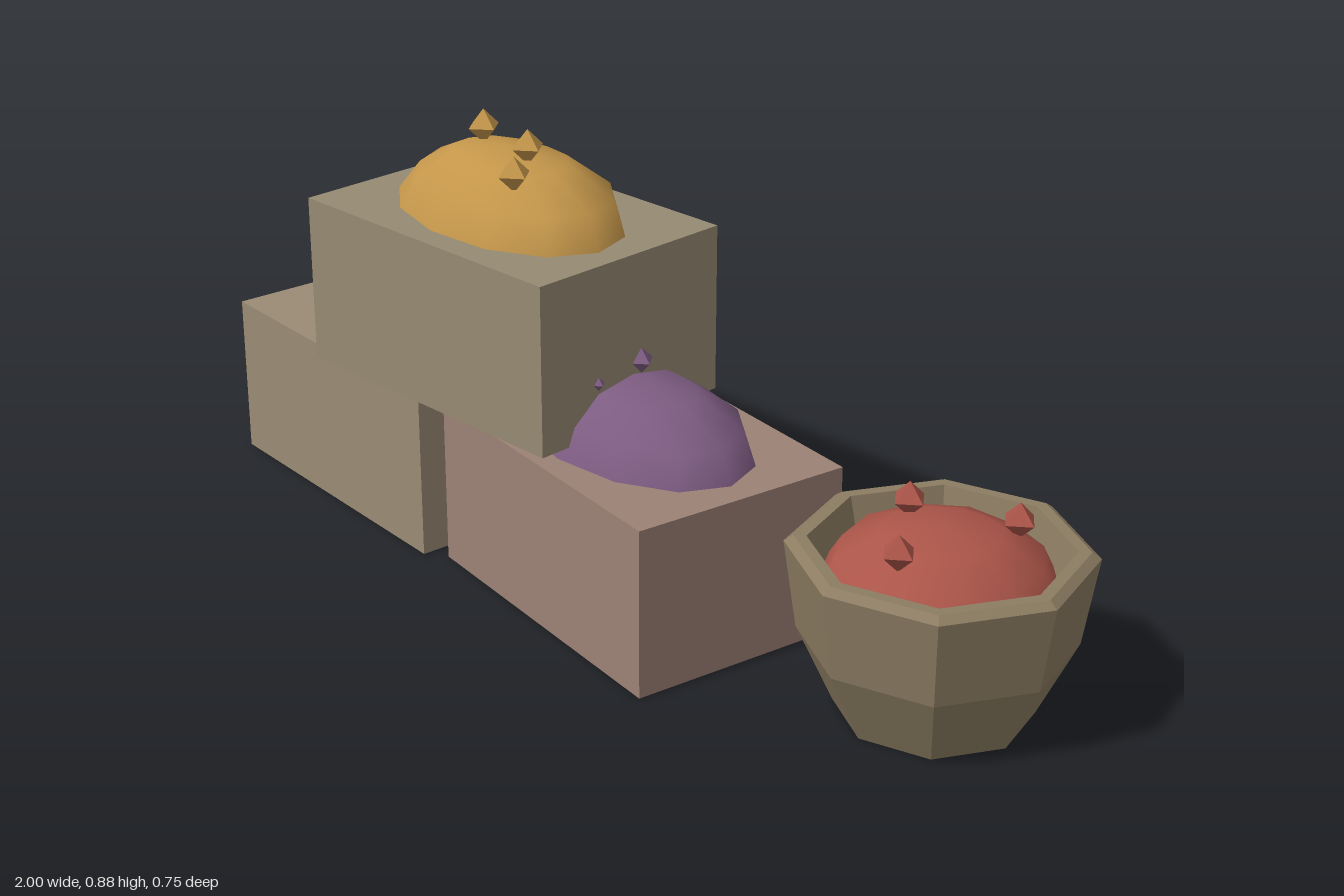
import * as THREE from 'three';
import { mergeVertices } from 'three/addons/utils/BufferGeometryUtils.js';

const material = (color, options = {}) => new THREE.MeshStandardMaterial({ color, ...options });

function addMesh(parent, name, geometry, mat, x = 0, y = 0, z = 0) {
  const mesh = new THREE.Mesh(geometry, mat);
  mesh.name = name;
  mesh.position.set(x, y, z);
  parent.add(mesh);
  return mesh;
}

// Crate: four walls and a top, open underneath
function addCrate(parent, name, color, x, y, z, turn) {
  const box = new THREE.BoxGeometry(0.668, 0.336, 0.455);
  const index = Array.from(box.index.array);
  index.splice(18, 6);
  box.setIndex(index);
  box.clearGroups();
  const mat = material(color, { flatShading: true, side: THREE.DoubleSide });
  addMesh(parent, name, box, mat, x, y + 0.168, z).rotation.y = turn;
}

// Heap: slightly lopsided low-poly dome with smooth normals
function heapGeometry(rx, ry, rz, lean) {
  let geo = new THREE.SphereGeometry(1, 12, 3, 0, Math.PI * 2, 0, Math.PI / 2);
  geo.deleteAttribute('uv');
  geo.deleteAttribute('normal');
  geo = mergeVertices(geo, 1e-4);
  const p = geo.attributes.position;
  for (let i = 0; i < p.count; i++) {
    const x = p.getX(i), y = p.getY(i), z = p.getZ(i);
    const bump = y > 0.01 ? 1 + 0.03 * Math.sin(5 * x + 4 * z + 1) : 1;
    p.setXYZ(i, (x * bump + lean * Math.sin(Math.PI * y)) * rx, y * ry * (y > 0.99 ? 0.98 : bump), z * bump * rz);
  }
  geo.computeVertexNormals();
  return geo;
}

// Heap with loose nuggets on top
function addHeap(parent, name, color, center, radii, lean, nuggets) {
  const group = new THREE.Group();
  group.name = name;
  parent.add(group);
  addMesh(group, name + 'Mound', heapGeometry(...radii, lean), material(color, { side: THREE.DoubleSide }), ...center);
  const gem = new THREE.OctahedronGeometry(0.035);
  const gemMat = material(color, { flatShading: true });
  nuggets.forEach((at, i) => addMesh(group, name + 'Nugget' + (i + 1), gem, gemMat, ...at));
}

export function createModel() {
  const model = new THREE.Group();
  model.name = 'goodsStall';

  // Crates: two on the ground, one stacked across them
  addCrate(model, 'leftCrate', 0x9a8b74, -0.66, 0, 0.08, 0.022);
  addCrate(model, 'rightCrate', 0x9c8175, 0.063, 0, 0.057, -0.05);
  addCrate(model, 'upperCrate', 0x968a72, -0.275, 0.361, 0.106, 0.121);

  // Eight-sided bowl with a bevelled rim
  const profile = [
    [0, 0], [0.18, 0], [0.25, 0.145], [0.275, 0.313], [0.258, 0.325],
    [0.235, 0.325], [0.215, 0.25], [0, 0.25],
  ].map(([r, y]) => new THREE.Vector2(r, y));
  addMesh(model, 'bowl', new THREE.LatheGeometry(profile, 8),
    material(0x8c7c62, { flatShading: true, side: THREE.DoubleSide }), 0.725, 0, -0.1);

  // Heaps of goods
  addHeap(model, 'yellowHeap', 0xc4964a, [-0.278, 0.697, 0.105], [0.288, 0.135, 0.18], 0.06,
    [[-0.378, 0.84, 0.092], [-0.208, 0.845, 0.108], [-0.148, 0.822, 0.182]]);
  addHeap(model, 'purpleHeap', 0x7d5c82, [0.06, 0.336, 0.06], [0.285, 0.125, 0.18], 0.05,
    [[0.044, 0.48, 0.04], [0.045, 0.465, 0.15], [-0.1, 0.465, 0.05]]);
  addHeap(model, 'redHeap', 0xac5549, [0.722, 0.25, -0.1], [0.213, 0.113, 0.213], 0,
    [[0.79, 0.358, -0.222], [0.625, 0.368, -0.115], [0.755, 0.36, 0.032]]);

  return model;
}
